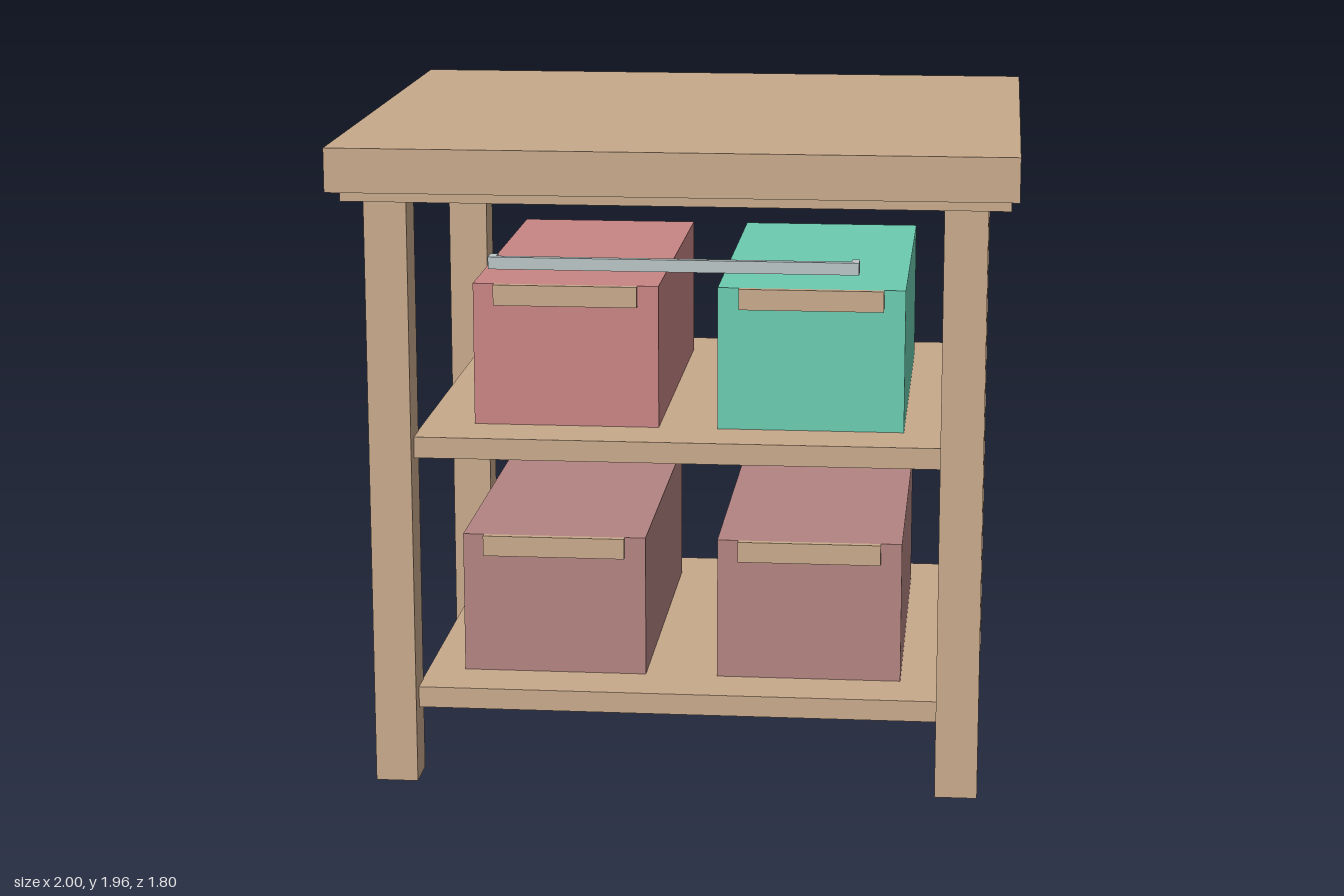
import * as THREE from 'three';

const mat = (name, color) => {
  const m = new THREE.MeshStandardMaterial({ color });
  m.name = name;
  return m;
};

export function createModel() {
  const wood = mat('wood', 0xc8a98b);
  const green = mat('green', 0x6ccbb0);
  const red = mat('red', 0xc98585);
  const mauve = mat('mauve', 0xb38481);
  const metal = mat('metal', 0xb9c5c4);

  const model = new THREE.Group();
  model.name = 'sideTable';

  // Box given by its lower and upper limits on each axis
  const box = (name, material, [x0, x1], [y0, y1], [z0, z1], parent = model) => {
    const mesh = new THREE.Mesh(new THREE.BoxGeometry(x1 - x0, y1 - y0, z1 - z0), material);
    mesh.position.set((x0 + x1) / 2, (y0 + y1) / 2, (z0 + z1) / 2);
    mesh.name = name;
    parent.add(mesh);
  };

  // Table top with a thinner slab beneath it
  box('tableTop', wood, [-1, 1], [1.83, 1.96], [-0.9, 0.9]);
  box('underTop', wood, [-0.977, 0.977], [1.787, 1.83], [-0.857, 0.793]);

  // Four legs
  for (const [label, z] of [['front', [0.645, 0.772]], ['back', [-0.835, -0.708]]]) {
    box(label + 'LeftLeg', wood, [0.785, 0.912], [0, 1.787], z);
    box(label + 'RightLeg', wood, [-0.912, -0.785], [0, 1.787], z);
  }

  // Two shelves
  box('lowerShelf', wood, [-0.787, 0.787], [0.22, 0.284], [-0.787, 0.722]);
  box('upperShelf', wood, [-0.787, 0.787], [1.002, 1.066], [-0.787, 0.722]);

  // Storage bins, each with a wooden handle on the front
  const bin = (name, material, x, y, height) => {
    const group = new THREE.Group();
    group.name = name;
    const top = y + height;
    box('binBody', material, [x - 0.281, x + 0.281], [y, top], [-0.6, 0.533], group);
    box('binHandle', wood, [x - 0.217, x + 0.217], [top - 0.063, top], [0.533, 0.555], group);
    model.add(group);
  };
  bin('upperRightBin', red, -0.35, 1.066, 0.434);
  bin('upperLeftBin', green, 0.39, 1.066, 0.434);
  bin('lowerRightBin', mauve, -0.392, 0.284, 0.434);
  bin('lowerLeftBin', mauve, 0.39, 0.284, 0.434);

  // Metal towel rail with short end posts
  const rail = new THREE.Group();
  rail.name = 'towelRail';
  box('railBar', metal, [-0.542, 0.542], [1.594, 1.63], [0.772, 0.795], rail);
  for (const x of [-0.531, 0.531]) {
    box('railPost', metal, [x - 0.011, x + 0.011], [1.594, 1.63], [0.735, 0.772], rail);
  }
  model.add(rail);

  return model;
}
